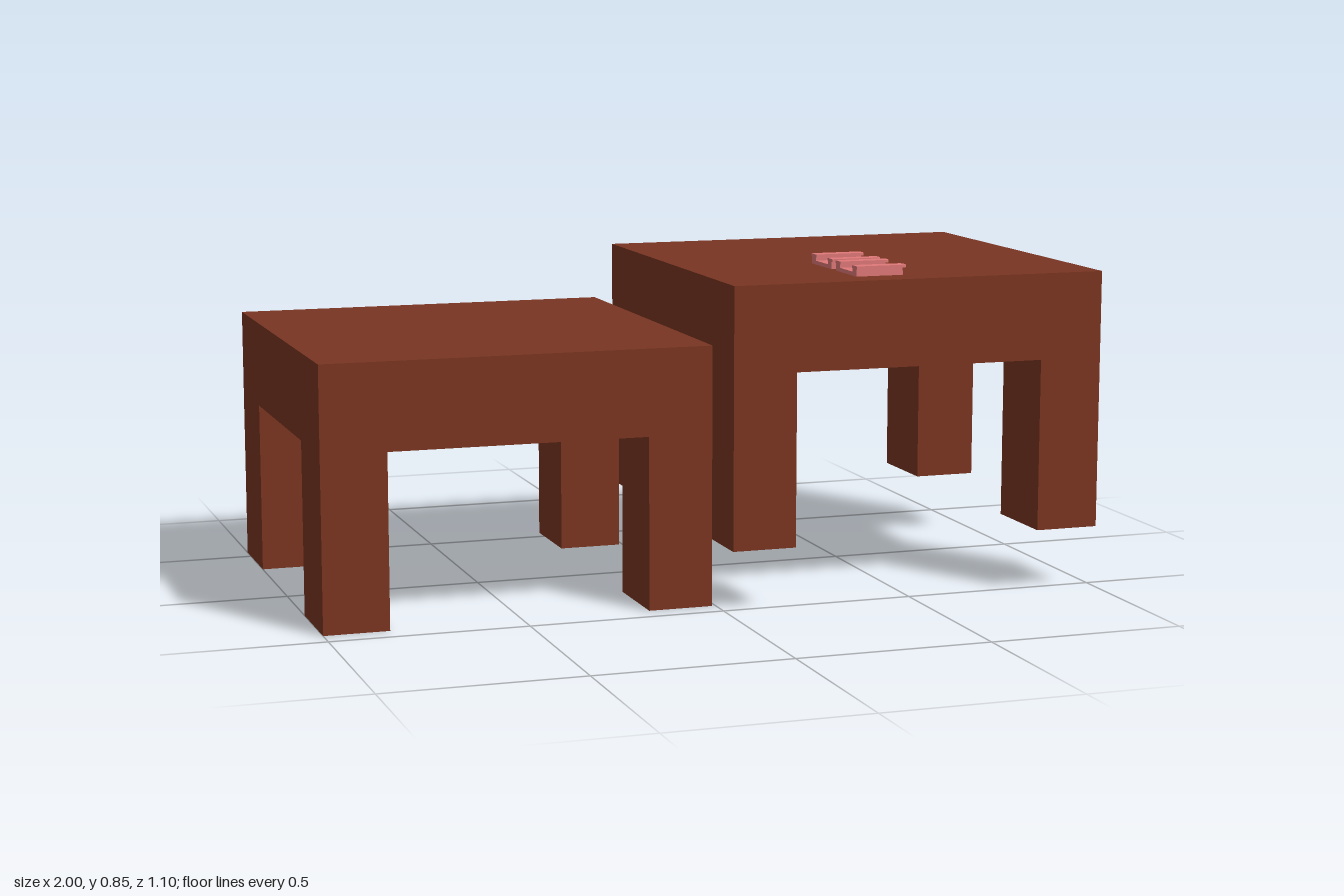
import * as THREE from 'three';

const wood = new THREE.MeshStandardMaterial({ color: 0x7a3522 });
const pink = new THREE.MeshStandardMaterial({ color: 0xe07878 });
const grey = new THREE.MeshStandardMaterial({ color: 0xcccccc });

// Box given by its low and high corners
function box(name, material, [x0, y0, z0], [x1, y1, z1]) {
  const mesh = new THREE.Mesh(new THREE.BoxGeometry(x1 - x0, y1 - y0, z1 - z0), material);
  mesh.position.set((x0 + x1) / 2, (y0 + y1) / 2, (z0 + z1) / 2);
  mesh.name = name;
  return mesh;
}

// Square table: thick slab on four legs, origin at the centre of its foot
function table(name, x, y, z) {
  const group = new THREE.Group();
  group.name = name;
  const half = 0.495, legW = 0.165, legD = 0.22, under = 0.44, top = 0.66;
  group.add(box('tableTop', wood, [-half, under, -half], [half, top, half]));
  for (const sx of [-1, 1]) {
    for (const sz of [-1, 1]) {
      const leg = box('leg', wood, [0, 0, 0], [legW, under, legD]);
      leg.position.x = sx * (half - legW / 2);
      leg.position.z = sz * (half - legD / 2);
      group.add(leg);
    }
  }
  group.position.set(x, y, z);
  return group;
}

// Flat plate with its two +x corners rounded
function roundedPlate(name, length, width, height, r) {
  const w = width / 2;
  const s = new THREE.Shape();
  s.moveTo(0, -w);
  s.lineTo(length - r, -w);
  s.quadraticCurveTo(length, -w, length, -w + r);
  s.lineTo(length, w - r);
  s.quadraticCurveTo(length, w, length - r, w);
  s.lineTo(0, w);
  s.closePath();
  const geometry = new THREE.ExtrudeGeometry(s, { depth: height, bevelEnabled: false, curveSegments: 4 });
  geometry.rotateX(-Math.PI / 2);
  const mesh = new THREE.Mesh(geometry, pink);
  mesh.name = name;
  return mesh;
}

// Small tray: thin base between two capped side rails
function tray(name, z) {
  const group = new THREE.Group();
  group.name = name;
  group.add(box('trayBase', pink, [0, 0, -0.06], [0.13, 0.01, 0.06]));
  for (const side of [-1, 1]) {
    const rail = box('sideRail', pink, [0, 0, -0.013], [0.125, 0.019, 0.013]);
    rail.position.z = side * 0.055;
    const cap = roundedPlate('railCap', 0.135, 0.034, 0.007, 0.012);
    cap.position.set(0, 0.019, side * 0.056);
    group.add(rail, cap);
  }
  group.position.set(0.36, 0.82, z);
  return group;
}

export function createModel() {
  const model = new THREE.Group();
  model.name = 'tables';
  model.add(table('lowTable', -0.505, 0, -0.055));
  model.add(table('raisedTable', 0.502, 0.16, 0.055));
  model.add(tray('frontTray', 0.398), tray('rearTray', 0.232));
  // Tiny pin on the side of the low table
  model.add(box('sidePin', grey, [-0.012, 0.285, -0.29], [0.003, 0.295, -0.27]));
  return model;
}
